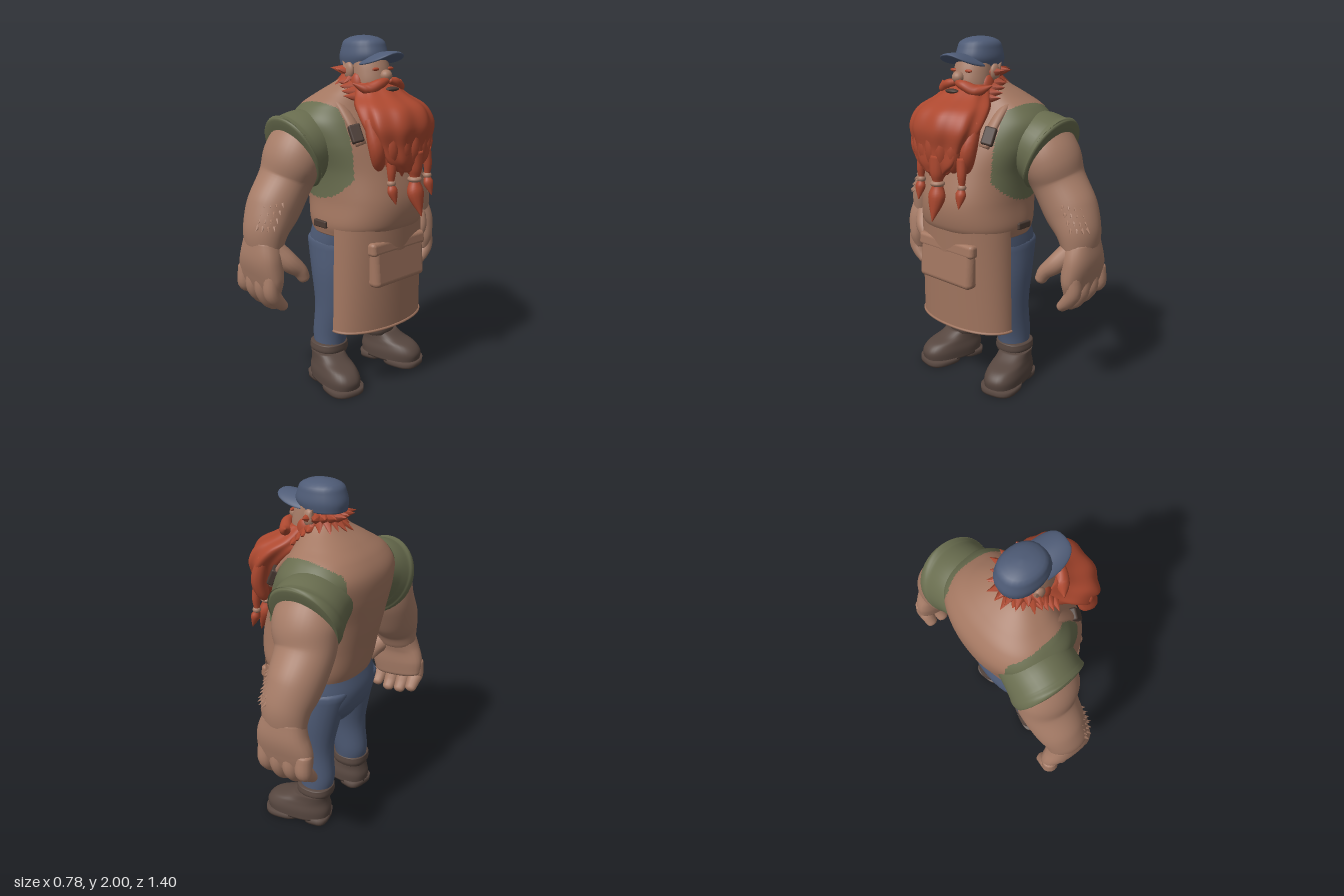
import * as THREE from 'three';
import { RoundedBoxGeometry } from 'three/addons/geometries/RoundedBoxGeometry.js';

const V = (x, y, z) => new THREE.Vector3(x, y, z);

// Smooth body through sections [x, y, z, sideRadius, forwardRadius].
// flat keeps every ring horizontal, dome rounds the [start, end], n squares the ring, wave(angle, t) grooves it.
function loft(sections, { flat = false, dome = [0, 0], n = 2, seg = 24, rows = 24, wave = null, s = 1 } = {}) {
  const path = new THREE.CatmullRomCurve3(sections.map(p => V(p[0] * s, p[1], p[2])), false, 'catmullrom');
  const size = new THREE.CatmullRomCurve3(sections.map(p => V(p[3], p[4], 0)), false, 'catmullrom');
  const rings = [];
  for (let i = 0; i <= rows; i++) {
    const t = i / rows, r = size.getPoint(t);
    rings.push({ p: path.getPoint(t), T: flat ? V(0, 1, 0) : path.getTangent(t), a: Math.max(r.x, 0.001), b: Math.max(r.y, 0.001), t });
  }
  const cap = (ring, len) => [1, 2, 3, 4, 5].map(k => {
    const q = k / 5.2 * Math.PI / 2;
    return { ...ring, p: ring.p.clone().addScaledVector(ring.T, len * Math.sin(q)), a: ring.a * Math.cos(q), b: ring.b * Math.cos(q) };
  });
  if (dome[1]) rings.push(...cap(rings[rings.length - 1], dome[1]));
  if (dome[0]) rings.unshift(...cap(rings[0], -dome[0]).reverse());
  const pos = [], idx = [], pw = v => Math.sign(v) * Math.abs(v) ** (2 / n);
  for (const { p, T, a, b, t } of rings) {
    const S = V().crossVectors(T, V(0, 0, 1)).normalize(), F = V().crossVectors(S, T).normalize();
    for (let j = 0; j < seg; j++) {
      const q = j / seg * Math.PI * 2, w = wave ? wave(q, t) : 1;
      const v = p.clone().addScaledVector(S, a * w * pw(Math.cos(q))).addScaledVector(F, b * w * pw(Math.sin(q)));
      pos.push(v.x, v.y, v.z);
    }
  }
  const last = (rings.length - 1) * seg, c0 = pos.length / 3;
  for (const r of [rings[0], rings[rings.length - 1]]) pos.push(r.p.x, r.p.y, r.p.z);
  for (let j = 0; j < seg; j++) {
    const k = (j + 1) % seg;
    idx.push(c0, j, k);
    for (let i = 0; i < last; i += seg) idx.push(i + j, i + seg + j, i + k, i + k, i + seg + j, i + seg + k);
    idx.push(c0 + 1, last + k, last + j);
  }
  const g = new THREE.BufferGeometry();
  g.setAttribute('position', new THREE.Float32BufferAttribute(pos, 3));
  g.setIndex(idx);
  g.computeVertexNormals();
  return g;
}

// Moves every vertex by a rule.
function warp(g, rule) {
  const p = g.attributes.position, v = V();
  for (let i = 0; i < p.count; i++) { rule(v.fromBufferAttribute(p, i)); p.setXYZ(i, v.x, v.y, v.z); }
  g.computeVertexNormals();
  return g;
}

export function createModel() {
  const mat = (name, color, side = THREE.FrontSide) => {
    const m = new THREE.MeshStandardMaterial({ color, side });
    m.name = name;
    return m;
  };
  const skin = mat('skin', 0xa67c67), leather = mat('apron leather', 0xa27660, THREE.DoubleSide), shirt = mat('green shirt', 0x686c4e);
  const denim = mat('blue denim', 0x4e5b76), hair = mat('red hair', 0xac482f), boot = mat('boot leather', 0x56463f);
  const dark = mat('dark metal', 0x4a3a33);
  const body = new THREE.Group();
  body.name = 'figure';
  const add = (name, g, m, x = 0, y = 0, z = 0) => {
    const mesh = new THREE.Mesh(g, m);
    mesh.name = name;
    mesh.position.set(x, y, z);
    body.add(mesh);
    return mesh;
  };
  const ball = (name, m, x, y, z, rx, ry, rz) => add(name, new THREE.SphereGeometry(1, 20, 14).scale(rx, ry, rz), m, x, y, z);
  // Pointed tuft standing at a position and aiming along a direction
  const spike = (name, m, p, d, r, len) => {
    const mesh = add(name, new THREE.ConeGeometry(r, len, 6).translate(0, len / 2, 0), m, p.x, p.y, p.z);
    mesh.quaternion.setFromUnitVectors(V(0, 1, 0), d.normalize());
  };

  // Torso: apron bib with green shirt showing around each armhole
  const torso = loft([
    [0, 0.93, -0.02, 0.295, 0.265], [0, 1.0, -0.01, 0.308, 0.297], [0, 1.13, -0.02, 0.296, 0.316], [0, 1.29, -0.06, 0.305, 0.31],
    [0, 1.44, -0.10, 0.355, 0.29], [0, 1.55, -0.125, 0.37, 0.258], [0, 1.63, -0.125, 0.315, 0.21], [0, 1.69, -0.1, 0.23, 0.165],
    [0, 1.75, -0.06, 0.145, 0.115], [0, 1.79, -0.04, 0.10, 0.09]], { flat: true, n: 2.35, seg: 160, rows: 110 });
  const parts = [[], []], ix = torso.index.array, tp = torso.attributes.position;
  for (let i = 0; i < ix.length; i += 3) {
    const tri = [ix[i], ix[i + 1], ix[i + 2]], mid = f => tri.reduce((sum, k) => sum + f(k), 0) / 3;
    const x = Math.abs(mid(k => tp.getX(k))), y = mid(k => tp.getY(k)), z = mid(k => tp.getZ(k));
    const green = x > 0.245 && ((z + 0.1) / (z < -0.1 ? 0.34 : 0.29)) ** 2 + ((y - 1.38) / (y > 1.38 ? 0.275 : 0.25)) ** 2 < 1;
    parts[green ? 1 : 0].push(...tri);
  }
  torso.setIndex([...parts[0], ...parts[1]]);
  torso.addGroup(0, parts[0].length, 0);
  torso.addGroup(parts[0].length, parts[1].length, 1);
  add('torso', torso, [leather, shirt]);

  // Apron skirt wrapped round the front, tucked under the belly, with a hem
  const skirtPoint = (u, y) => {
    const q = u * Math.PI / 2, k = (y - 0.38) / 0.6;
    return V((0.327 - 0.017 * k) * Math.sign(Math.sin(q)) * Math.abs(Math.sin(q)) ** 0.95, y, 0.06 + (0.185 + 0.03 * k) * Math.abs(Math.cos(q)) ** 0.95);
  };
  add('apronSkirt', warp(new THREE.PlaneGeometry(2, 0.6, 48, 14), v => v.copy(skirtPoint(v.x, v.y + 0.68))), leather);
  const hem = Array.from({ length: 25 }, (_, i) => skirtPoint(i / 12 - 1, 0.387));
  add('apronHem', new THREE.TubeGeometry(new THREE.CatmullRomCurve3(hem), 60, 0.008, 6), leather);
  // Front pocket and its flap, hanging slightly outward
  const pocketBend = v => { v.z -= 0.6 * v.x * v.x + 0.08 * v.y; };
  add('pocket', warp(new RoundedBoxGeometry(0.4, 0.25, 0.08, 5, 0.03), pocketBend), leather, 0, 0.78, 0.25);
  add('pocketFlap', warp(new RoundedBoxGeometry(0.42, 0.075, 0.07, 4, 0.02), pocketBend), leather, 0, 0.875, 0.254);

  // Head, face and neck
  add('head', loft([[0, 1.66, 0.02, 0.1, 0.09], [0, 1.74, 0.035, 0.11, 0.11], [0, 1.82, 0.02, 0.108, 0.115], [0, 1.89, 0, 0.1, 0.11]], { flat: true }), skin);
  ball('nose', skin, 0, 1.79, 0.145, 0.034, 0.032, 0.034);
  ball('mouth', dark, 0, 1.722, 0.192, 0.045, 0.013, 0.025);
  // Cap crown and upturned brim
  add('capCrown', loft([[0, 1.84, -0.035, 0.106, 0.13], [0, 1.89, -0.025, 0.114, 0.145], [0, 1.95, -0.025, 0.104, 0.128]], { flat: true, dome: [0, 0.05], n: 2.2, rows: 14 }), denim);
  add('capBrim', warp(new THREE.SphereGeometry(1, 32, 24).scale(0.106, 0.022, 0.14), v => {
    v.x *= (1.02 - (v.z / 0.14) ** 2) ** -0.2;
    v.y += 0.17 * v.z - 3 * v.x * v.x;
  }), denim, 0, 1.888, 0.09);

  // Beard mass with combed grooves
  add('beard', loft([[0, 1.31, 0.315, 0.09, 0.035], [0, 1.36, 0.30, 0.155, 0.065], [0, 1.44, 0.275, 0.19, 0.095], [0, 1.54, 0.245, 0.228, 0.14],
    [0, 1.63, 0.18, 0.215, 0.165], [0, 1.69, 0.105, 0.16, 0.135], [0, 1.75, 0.055, 0.118, 0.1]],
  { flat: true, seg: 96, rows: 30, dome: [0.02, 0.01], wave: (q, t) => 1 + 0.05 * Math.cos(9 * q + 2 * t) * (1 - t * 0.5) }), hair);
  // Loose locks along the lower beard
  for (let i = 0; i < 7; i++) {
    const u = (i - 3) / 3, end = 1.25 + 0.07 * Math.abs(u) + (i % 2) * 0.03, z = 0.07 * u * u;
    add('beardLock', loft([[0.2 * u, 1.58, 0.33 - z * 1.6, 0.03, 0.03], [0.19 * u, 1.44, 0.335 - z, 0.045, 0.045],
      [0.16 * u, 1.34, 0.325 - z, 0.035, 0.03], [0.14 * u, end, 0.32 - z, 0.004, 0.004]], { seg: 10, rows: 14 }), hair);
  }
  // Three bound tails: x, bead height, tip height, width, forward
  for (const [x, y, tip, r, z] of [[0.03, 1.25, 1.05, 0.05, 0.335], [-0.125, 1.245, 1.135, 0.03, 0.31], [0.175, 1.245, 1.135, 0.03, 0.3]]) {
    add('beardTail', loft([[x * 0.95, 1.4, z - 0.01, r * 1.1, r], [x, 1.31, z, r * 0.85, r * 0.8], [x, y, z, r * 0.55, r * 0.55],
      [x, y - (y - tip) * 0.4, z + 0.01, r, r * 0.85], [x + 0.005, tip, z + r, 0.003, 0.003]], { seg: 12 }), hair);
    ball('tailBead', skin, x, y, z, r * 0.8, 0.02, r * 0.8);
  }
  // Ragged fringe round the back of the head
  for (let i = 0; i < 20; i++) {
    const row = i % 2, q = Math.PI * (1.02 + 0.96 * (i + 0.5) / 20);
    const p = V(0.09 * Math.cos(q), 1.785 + 0.025 * row, 0.005 + 0.115 * Math.sin(q));
    spike('hairTuft', hair, p, V(Math.cos(q), row ? 0.15 : -0.5, Math.sin(q)), 0.04, 0.08 + 0.012 * (i % 3));
  }
  ball('backHair', hair, 0, 1.79, -0.03, 0.113, 0.045, 0.115);

  for (const s of [-1, 1]) {
    // Moustache, sideburns, brow and ear
    add('moustache', loft([[0.012, 1.765, 0.16, 0.018, 0.02], [0.06, 1.752, 0.16, 0.027, 0.03], [0.12, 1.725, 0.125, 0.03, 0.035], [0.185, 1.755, 0.08, 0.004, 0.004]], { s, seg: 12, dome: [0.01, 0] }), hair);
    ball('sideburn', hair, s * 0.1, 1.735, 0.02, 0.03, 0.07, 0.045);
    for (let i = 0; i < 4; i++) spike('cheekTuft', hair, V(s * 0.12, 1.68 + 0.025 * i, 0.06 - 0.03 * i), V(s, 0.1, -0.3), 0.035, 0.095 - 0.012 * i);
    ball('eyebrow', hair, s * 0.055, 1.825, 0.122, 0.024, 0.009, 0.012);
    ball('ear', skin, s * 0.116, 1.815, -0.02, 0.02, 0.045, 0.035);
    spike('earTip', skin, V(s * 0.118, 1.825, -0.035), V(s * 0.3, 0.9, -0.4), 0.02, 0.05);
    // Strap, strap buckle and waist buckle
    add('apronStrap', loft([[0.2, 1.44, 0.16, 0.035, 0.02], [0.21, 1.57, 0.08, 0.035, 0.02], [0.205, 1.655, -0.03, 0.035, 0.02], [0.19, 1.62, -0.17, 0.035, 0.02]], { s, seg: 12 }), leather);
    const buckle = add('strapBuckle', new RoundedBoxGeometry(0.065, 0.1, 0.04, 2, 0.01), dark, s * 0.22, 1.5, 0.14);
    buckle.rotation.set(-0.45, s * 0.5, 0);
    add('waistBuckle', new RoundedBoxGeometry(0.03, 0.04, 0.1, 2, 0.008), dark, s * 0.306, 0.99, -0.05);

    // Sleeve and rolled lip
    add('sleeve', loft([[0.2, 1.455, -0.16, 0.16, 0.19], [0.3, 1.425, -0.165, 0.195, 0.2], [0.36, 1.397, -0.172, 0.21, 0.205],
      [0.385, 1.385, -0.175, 0.225, 0.21], [0.4, 1.378, -0.175, 0.215, 0.2]], { s, seg: 40, dome: [0.03, 0.012] }), shirt);
    // Arm from shoulder past the elbow to the wrist
    add('arm', loft([[0.33, 1.41, -0.18, 0.18, 0.18], [0.385, 1.345, -0.185, 0.16, 0.185], [0.425, 1.235, -0.205, 0.143, 0.165], [0.515, 1.09, -0.205, 0.148, 0.15],
      [0.575, 0.99, -0.195, 0.12, 0.137], [0.6, 0.89, -0.195, 0.092, 0.125]], { s, seg: 36, rows: 36, dome: [0.06, 0.03] }), skin);
    add('palm', loft([[0.6, 0.92, -0.195, 0.088, 0.12], [0.615, 0.83, -0.195, 0.08, 0.15], [0.61, 0.74, -0.205, 0.068, 0.168], [0.605, 0.66, -0.215, 0.052, 0.155]], { s, n: 2.4, dome: [0.02, 0.03] }), skin);
    // Curled fingers, then the thumb
    for (let i = 0; i < 4; i++) {
      const z = -0.333 + 0.08 * i, y = [0.04, 0.01, 0, 0.015][i];
      add('finger', loft([[0.625, 0.75, z, 0.042, 0.044], [0.63, 0.66, z, 0.044, 0.047], [0.6, 0.59 + y, z, 0.04, 0.044], [0.56, 0.548 + y, z, 0.03, 0.036]], { s, seg: 14, rows: 14, dome: [0.02, 0.025] }), skin);
    }
    add('thumb', loft([[0.57, 0.87, -0.12, 0.06, 0.06], [0.525, 0.81, -0.07, 0.055, 0.055], [0.475, 0.76, -0.045, 0.042, 0.045], [0.452, 0.715, -0.035, 0.033, 0.037]], { s, seg: 14, dome: [0.03, 0.025] }), skin);
    // Forearm hair
    for (let i = 0; i < 16; i++) {
      const q = 0.45 + 0.2 * (i % 4), y = 1.03 + 0.04 * Math.floor(i / 4), x = 0.555 - (y - 0.99) * 0.5;
      spike('armHair', skin, V(s * (x + 0.14 * Math.cos(q)), y, -0.2 + 0.13 * Math.sin(q)), V(s * Math.cos(q), -0.6, Math.sin(q)), 0.016, 0.05);
    }

    // Trouser leg and boot
    add('trouserLeg', loft([[0.195, 0.21, -0.12, 0.088, 0.095], [0.187, 0.3, -0.118, 0.096, 0.11], [0.18, 0.48, -0.085, 0.108, 0.128], [0.165, 0.68, -0.085, 0.135, 0.16], [0.15, 0.86, -0.1, 0.145, 0.19]], { flat: true, s, dome: [0, 0.05] }), denim);
    add('bootCuff', loft([[0.197, 0.175, -0.12, 0.092, 0.1], [0.2, 0.2, -0.12, 0.104, 0.108], [0.2, 0.235, -0.12, 0.1, 0.106]], { flat: true, s, dome: [0, 0.01], n: 2.4 }), boot);
    const turned = (name, g) => { add(name, g, boot, s * 0.222, 0, -0.11).rotation.y = s * 0.2; };
    turned('bootUpper', loft([[0, 0.025, 0.085, 0.105, 0.195], [0, 0.08, 0.085, 0.106, 0.2], [0, 0.125, 0.07, 0.096, 0.175], [0, 0.155, 0.03, 0.09, 0.13], [0, 0.19, 0.0, 0.088, 0.1]], { flat: true, n: 2.5, seg: 36 }));
    turned('bootSole', loft([[0, 0.0, 0.175, 0.106, 0.115], [0, 0.035, 0.17, 0.109, 0.12]], { flat: true, n: 2.8, seg: 32, rows: 2 }));
    turned('bootHeel', loft([[0, 0.0, -0.035, 0.093, 0.073], [0, 0.04, -0.035, 0.095, 0.076]], { flat: true, n: 3.2, seg: 32, rows: 2 }));
  }
  // Trouser seat
  add('trouserSeat', loft([[0, 0.66, -0.1, 0.2, 0.13], [0, 0.74, -0.105, 0.275, 0.185], [0, 0.85, -0.095, 0.29, 0.215], [0, 0.97, -0.06, 0.285, 0.22]], { flat: true, n: 2.3, seg: 40, dome: [0.05, 0] }), denim);

  // The figure looks along +x
  body.rotation.y = Math.PI / 2;
  const model = new THREE.Group();
  model.name = 'beardedSmith';
  model.add(body);
  return model;
}
